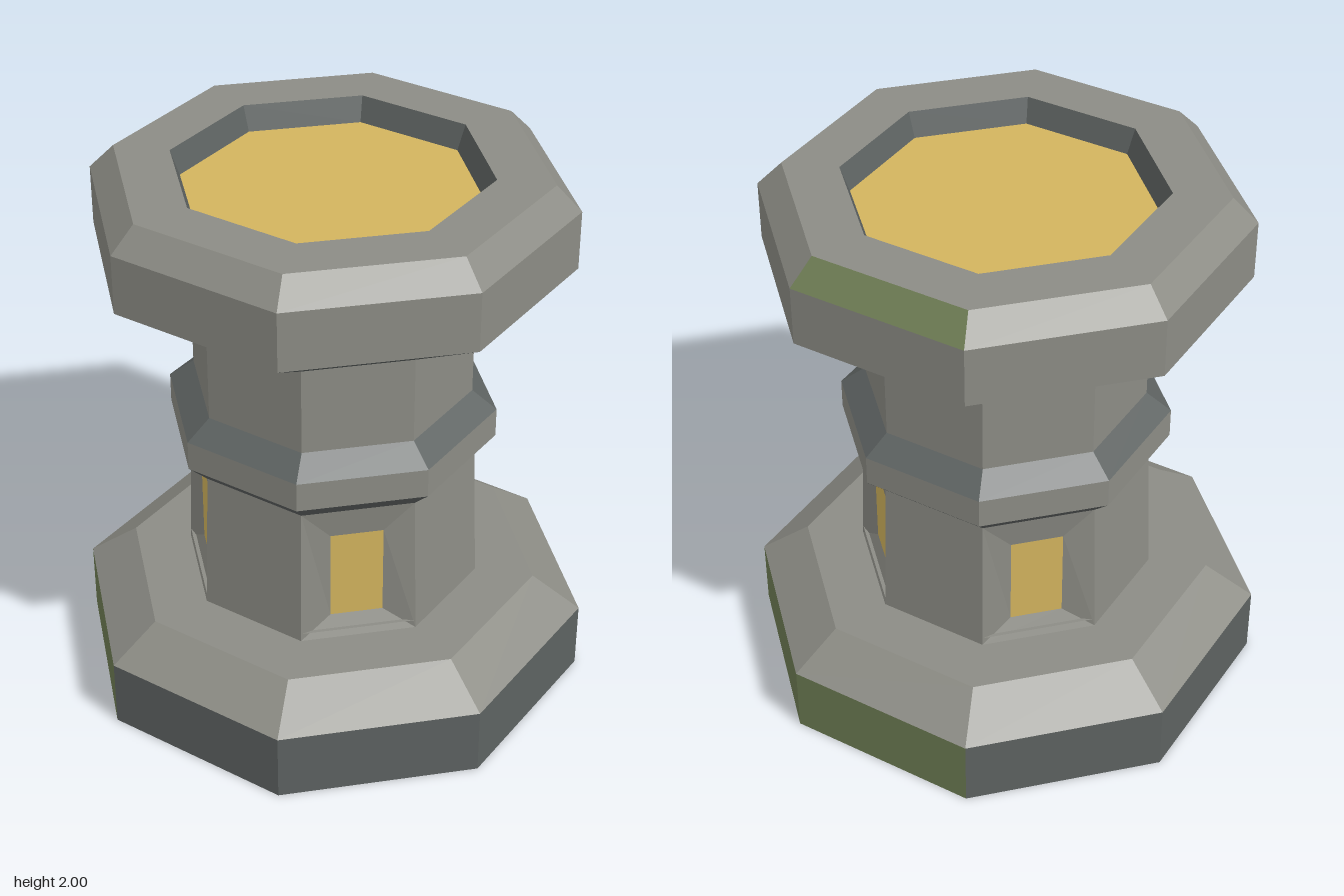
import * as THREE from 'three';

const STEP = Math.PI / 4;
const toRadius = (apothem) => apothem / Math.cos(STEP / 2);

function makeMaterial(name, color) {
  const m = new THREE.MeshStandardMaterial({ color, flatShading: true, side: THREE.DoubleSide });
  m.name = name;
  return m;
}

export function createModel() {
  const stone = makeMaterial('stone', 0x8c8c85);
  const darkStone = makeMaterial('darkStone', 0x5d6261);
  const moss = makeMaterial('moss', 0x6e7d54);
  const gold = makeMaterial('gold', 0xd3b45e);

  const model = new THREE.Group();
  model.name = 'octagonalTower';

  function add(parent, name, geometry, material) {
    const mesh = new THREE.Mesh(geometry, material);
    mesh.name = name;
    parent.add(mesh);
    return mesh;
  }

  // Octagonal band from apothem a0 at y0 up to a1 at y1; side 0 faces +z, side 2 faces +x
  function band(parent, name, a0, y0, a1, y1, material, first = 0, count = 8) {
    const g = new THREE.CylinderGeometry(toRadius(a1), toRadius(a0), y1 - y0, count, 1, true,
      (first - 0.5) * STEP, count * STEP);
    g.translate(0, (y0 + y1) / 2, 0);
    return add(parent, name, g, material);
  }

  // Band whose listed sides are overgrown with moss
  function mossyBand(parent, name, a0, y0, a1, y1, material, mossySides) {
    for (let k = 0; k < 8; k++) {
      const mossy = mossySides.includes(k);
      band(parent, name + (mossy ? 'MossySide' : 'Side'), a0, y0, a1, y1, mossy ? moss : material, k, 1);
    }
  }

  // Flat octagonal plate
  function plate(parent, name, apothem, y, material, facing) {
    const g = new THREE.CircleGeometry(toRadius(apothem), 8, STEP / 2);
    g.rotateX(-facing * Math.PI / 2);
    g.translate(0, y, 0);
    return add(parent, name, g, material);
  }

  function group(name) {
    const g = new THREE.Group();
    g.name = name;
    model.add(g);
    return g;
  }

  // Base, open underneath
  const base = group('base');
  mossyBand(base, 'baseWall', 0.87, 0, 0.87, 0.255, darkStone, [3, 4, 7]);
  band(base, 'baseChamfer', 0.87, 0.255, 0.705, 0.38, stone);
  band(base, 'baseTop', 0.705, 0.38, 0.505, 0.38, stone);
  plate(base, 'baseCeiling', 0.503, 0.41, stone, -1);

  // Lower shaft: plain sides alternate with sunken window sides
  const shaft = group('lowerShaft');
  const A0 = 0.505, A1 = 0.485, Y0 = 0.38, Y1 = 0.915;
  const half = (a) => a * Math.tan(STEP / 2);
  const outer = [[-half(A0), Y0, A0], [half(A0), Y0, A0], [half(A1), Y1, A1], [-half(A1), Y1, A1]];
  const inner = [[-0.095, 0.455, 0.467], [0.095, 0.455, 0.467], [0.095, 0.8, 0.467], [-0.095, 0.8, 0.467]];

  function quads(list) {
    const points = [];
    for (const [a, b, c, d] of list) points.push(...a, ...b, ...c, ...a, ...c, ...d);
    const g = new THREE.BufferGeometry();
    g.setAttribute('position', new THREE.Float32BufferAttribute(points, 3));
    g.computeVertexNormals();
    return g;
  }
  const frameGeometry = quads(outer.map((p, i) => {
    const j = (i + 1) % 4;
    return [p, outer[j], inner[j], inner[i]];
  }));
  const windowGeometry = quads([inner]);

  for (let k = 0; k < 8; k++) {
    if (k % 2 === 0) {
      band(shaft, 'shaftSide', A0, Y0, A1, Y1, stone, k, 1);
    } else {
      add(shaft, 'windowFrame', frameGeometry, stone).rotation.y = k * STEP;
      add(shaft, 'window', windowGeometry, gold).rotation.y = k * STEP;
    }
  }

  // Collar around the shaft
  const collar = group('collar');
  band(collar, 'collarUnderside', 0.485, 0.915, 0.553, 0.985, darkStone);
  band(collar, 'collarBand', 0.553, 0.985, 0.553, 1.095, stone);
  band(collar, 'collarTop', 0.553, 1.095, 0.47, 1.165, darkStone);

  // Upper shaft
  band(model, 'upperShaft', 0.47, 1.165, 0.47, 1.49, stone);

  // Crown with a sunken gold floor
  const crown = group('crown');
  band(crown, 'crownFlare', 0.47, 1.49, 0.787, 1.695, darkStone);
  band(crown, 'crownWall', 0.787, 1.695, 0.787, 1.91, stone);
  mossyBand(crown, 'crownChamfer', 0.787, 1.91, 0.705, 2, stone, [4]);
  band(crown, 'crownTop', 0.705, 2, 0.52, 2, stone);
  band(crown, 'recessWall', 0.49, 1.91, 0.52, 2, darkStone);
  plate(crown, 'recessFloor', 0.49, 1.91, gold, 1);

  return model;
}
